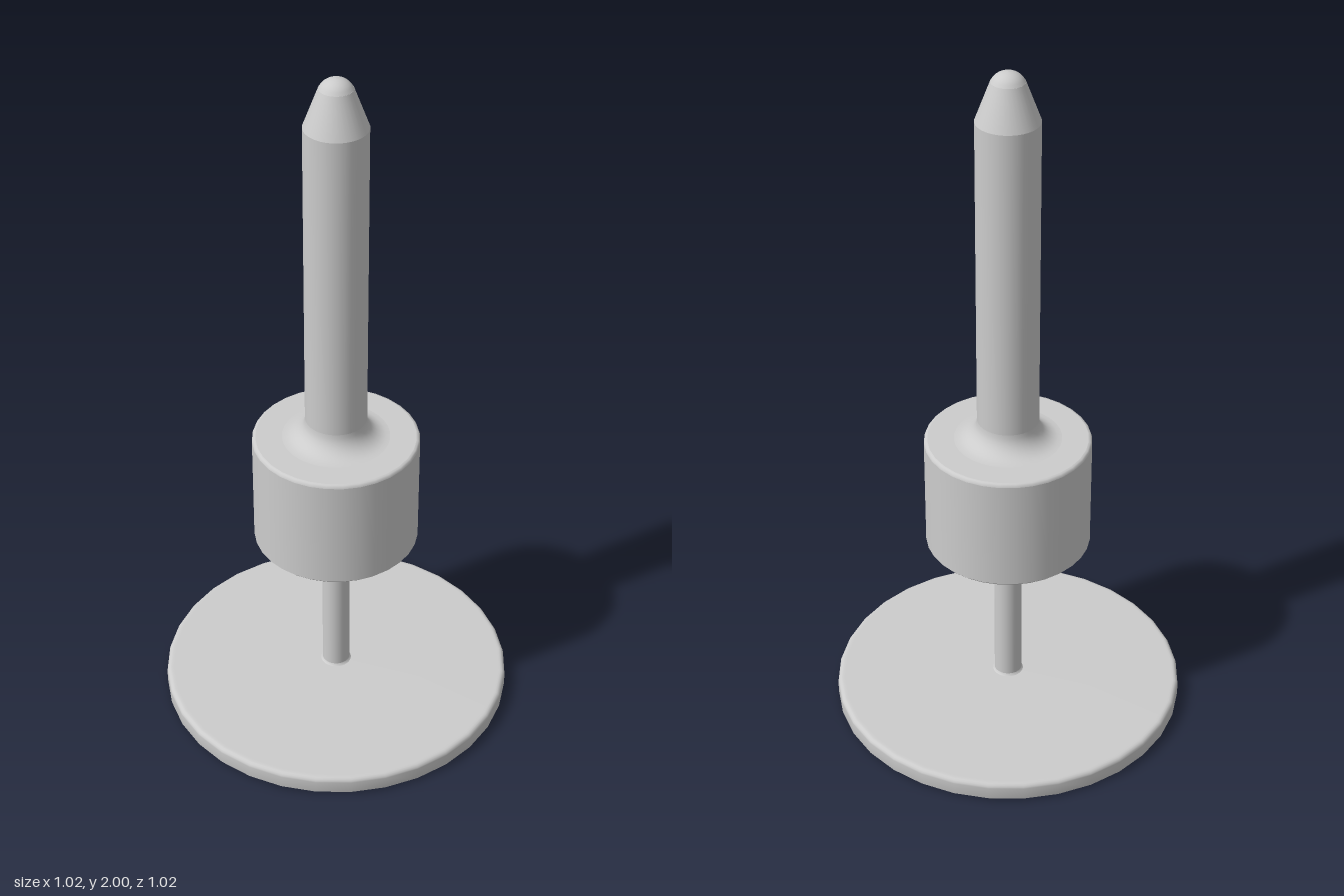
import * as THREE from 'three';

const SIDES = 32;
const grey = new THREE.MeshStandardMaterial({ color: 0xcccccc });
grey.name = 'plain grey';

// Turned part from [radius, height] points, bottom to top; a repeated point makes a sharp edge.
function turned(name, points) {
  const geometry = new THREE.LatheGeometry(points.map(([r, y]) => new THREE.Vector2(r, y)), SIDES);
  geometry.normalizeNormals();
  const mesh = new THREE.Mesh(geometry, grey);
  mesh.name = name;
  return mesh;
}

// Points on a circular arc in the profile plane, angles in degrees.
function arc(cx, cy, rx, ry, from, to, steps) {
  return Array.from({ length: steps + 1 }, (_, i) => {
    const a = THREE.MathUtils.degToRad(from + (to - from) * i / steps);
    return [Math.max(0, cx + rx * Math.cos(a)), cy + ry * Math.sin(a)];
  });
}

export function createModel() {
  const model = new THREE.Group();
  model.name = 'spindle';

  // Thin round foot with softened rim and slightly coned top
  model.add(turned('footDisc', [
    [0, 0], [0.503, 0], [0.503, 0],
    [0.51, 0.007], [0.51, 0.043],
    ...arc(0.496, 0.043, 0.014, 0.014, 20, 90, 3),
    [0.49, 0.057], [0.05, 0.063], [0, 0.063],
  ]));

  // Slim rod with small flares at both ends
  model.add(turned('rod', [
    [0.05, 0.06], [0.043, 0.064], [0.04, 0.07], [0.04, 0.07],
    [0.04, 0.54], [0.04, 0.54], [0.043, 0.547], [0.05, 0.553],
  ]));

  // Heavy cylindrical collar
  model.add(turned('collar', [
    [0, 0.55], [0.228, 0.55], [0.228, 0.55],
    [0.236, 0.558], [0.236, 0.558], [0.236, 0.885], [0.236, 0.885],
    ...arc(0.226, 0.885, 0.01, 0.01, 0, 90, 3),
    [0.226, 0.895], [0.14, 0.895], [0, 0.895],
  ]));

  // Upper shaft: flared neck, straight body, tapered and rounded tip
  model.add(turned('shaft', [
    ...arc(0.152, 0.957, 0.065, 0.062, 270, 180, 8),
    [0.087, 0.957], [0.087, 1.863], [0.087, 1.863],
    [0.046, 1.972], [0.046, 1.972],
    ...arc(0, 1.955, 0.049, 0.045, 22, 90, 6),
  ]));

  return model;
}
